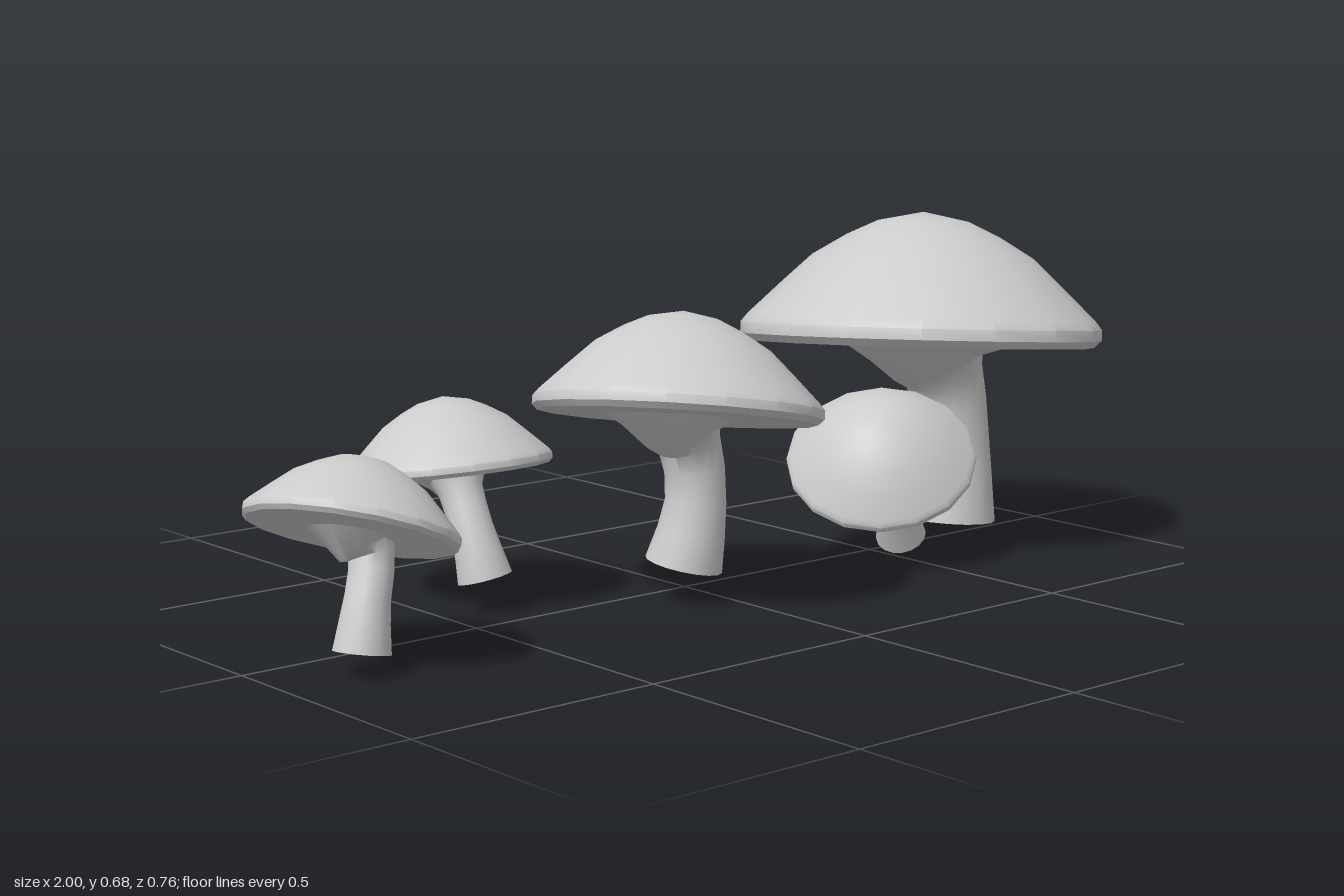
import * as THREE from 'three';
import { toCreasedNormals } from 'three/addons/utils/BufferGeometryUtils.js';

const UP = new THREE.Vector3(0, 1, 0);
const material = new THREE.MeshStandardMaterial({ color: 0xcccccc });

// Unit cap profile: flat underside, thin rolled rim, domed top with a soft point
const CAP = [[0, 0], [0.96, 0], [1, 0.04], [1, 0.1], [0.96, 0.15], [0.78, 0.325],
  [0.61, 0.485], [0.42, 0.6], [0.25, 0.68], [0, 0.73]].map(([x, y]) => new THREE.Vector2(x, y));

// Stem radius (as a share of the cap radius) along the path
const STEM = [[0, 0.27], [0.2, 0.235], [0.4, 0.212], [0.6, 0.21], [0.76, 0.22], [0.9, 0.28], [1, 0.5]];
const SIDES = 16;

function capMesh(radius, centre, tilt) {
  const geometry = new THREE.LatheGeometry(CAP, SIDES);
  const mesh = new THREE.Mesh(toCreasedNormals(geometry, 0.75), material);
  mesh.name = 'cap';
  mesh.scale.setScalar(radius);
  mesh.position.copy(centre);
  mesh.quaternion.copy(tilt);
  return mesh;
}

// Bent stem: rings swept along a curve, flaring to meet the tilted cap
function stemMesh(radius, path, tilt) {
  const curve = new THREE.CatmullRomCurve3(path);
  const positions = [], index = [];
  STEM.forEach(([t, r], i) => {
    const centre = curve.getPoint(t);
    const turn = t === 1 ? tilt : new THREE.Quaternion().setFromUnitVectors(UP, curve.getTangent(t));
    for (let j = 0; j < SIDES; j++) {
      const a = (j / SIDES) * Math.PI * 2;
      const p = new THREE.Vector3(Math.sin(a), 0, Math.cos(a)).multiplyScalar(r * radius);
      positions.push(...p.applyQuaternion(turn).add(centre).toArray());
      if (i === 0) continue;
      const k = (j + 1) % SIDES, low = (i - 1) * SIDES, high = i * SIDES;
      index.push(low + j, low + k, high + k, low + j, high + k, high + j);
    }
  });
  // Closed foot
  const foot = positions.length / 3;
  positions.push(...path[0].toArray());
  for (let j = 0; j < SIDES; j++) index.push(foot, (j + 1) % SIDES, j);

  const geometry = new THREE.BufferGeometry();
  geometry.setAttribute('position', new THREE.Float32BufferAttribute(positions, 3));
  geometry.setIndex(index);
  const mesh = new THREE.Mesh(toCreasedNormals(geometry, 0.8), material);
  mesh.name = 'stem';
  return mesh;
}

// Cap radius, centre of the cap underside, cap axis, and stem path from the foot up
const MUSHROOMS = [
  { name: 'largeMushroom', radius: 0.37, centre: [0.63, 0.413, 0.008], axis: [0.1, 1, -0.08],
    path: [[0.705, 0.04, 0.02], [0.715, 0.15, 0.019], [0.713, 0.25, 0.018], [0.695, 0.34, 0.016], [0.66, 0.412, 0.01]] },
  { name: 'mediumMushroom', radius: 0.275, centre: [-0.1, 0.355, 0.095], axis: [0.2, 1, -0.14],
    path: [[-0.08, 0.07, 0.09], [-0.066, 0.15, 0.1], [-0.058, 0.22, 0.1], [-0.07, 0.3, 0.095], [-0.1, 0.357, 0.095]] },
  { name: 'smallBackMushroom', radius: 0.195, centre: [-0.415, 0.25, -0.192], axis: [0, 1, -0.16],
    path: [[-0.41, 0.062, -0.095], [-0.418, 0.12, -0.108], [-0.42, 0.17, -0.13], [-0.418, 0.22, -0.157], [-0.415, 0.252, -0.18]] },
  { name: 'smallEndMushroom', radius: 0.192, centre: [-0.825, 0.233, 0.08], axis: [0.4, 1, -0.22],
    path: [[-0.84, 0.037, 0.13], [-0.828, 0.1, 0.125], [-0.812, 0.15, 0.115], [-0.796, 0.195, 0.1], [-0.81, 0.23, 0.085]] },
  { name: 'leaningMushroom', radius: 0.19, centre: [0.457, 0.195, 0.075], axis: [-0.45, 0.8, 0.4],
    path: [[0.553, 0.027, 0.037], [0.53, 0.065, 0.05], [0.51, 0.1, 0.06], [0.485, 0.145, 0.068], [0.457, 0.195, 0.075]] },
];

export function createModel() {
  const model = new THREE.Group();
  model.name = 'mushrooms';
  for (const { name, radius, centre, axis, path } of MUSHROOMS) {
    const tilt = new THREE.Quaternion().setFromUnitVectors(UP, new THREE.Vector3(...axis).normalize());
    const mushroom = new THREE.Group();
    mushroom.name = name;
    mushroom.add(
      capMesh(radius, new THREE.Vector3(...centre), tilt),
      stemMesh(radius, path.map((p) => new THREE.Vector3(...p)), tilt),
    );
    model.add(mushroom);
  }
  return model;
}
